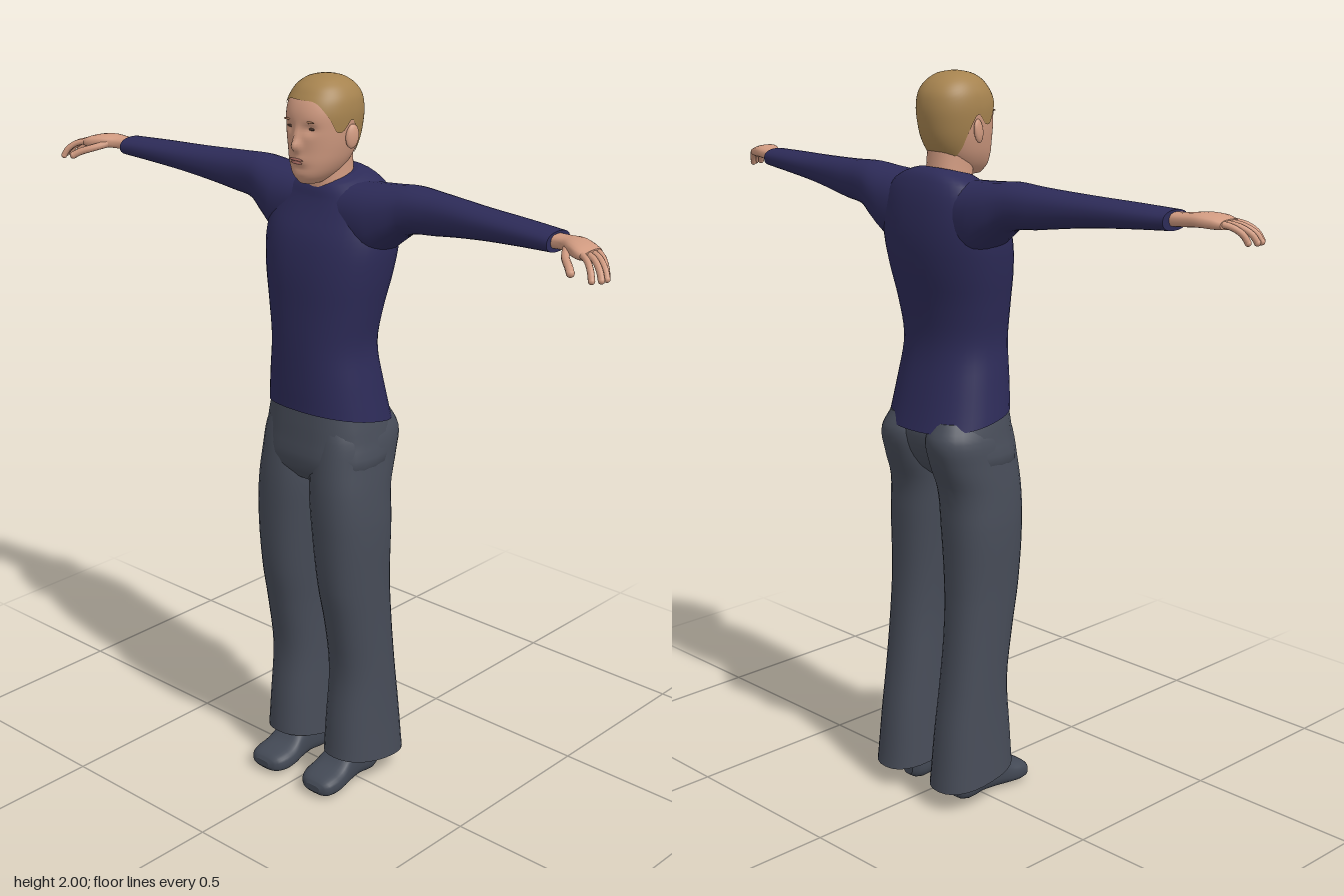
import * as THREE from 'three';

const paint = (name, color) => {
  const m = new THREE.MeshStandardMaterial({ color });
  m.name = name;
  return m;
};

// Closed-ring surface: fn(angle, v) gives a point; optional flat caps at both ends
function rings(nu, nv, fn, capStart = true, capEnd = true) {
  const pos = [], idx = [];
  const put = (p) => pos.push(p.x, p.y, p.z) / 3 - 1;
  const row = (v) => Array.from({ length: nu }, (_, i) => fn((i / nu) * Math.PI * 2, v));
  for (let j = 0; j <= nv; j++) row(j / nv).forEach(put);
  for (let j = 0; j < nv; j++) {
    for (let i = 0; i < nu; i++) {
      const k = (i + 1) % nu, a = j * nu + i, b = j * nu + k;
      idx.push(a, b, b + nu, a, b + nu, a + nu);
    }
  }
  for (const [use, v] of [[capStart, 0], [capEnd, 1]]) {
    if (!use) continue;
    const pts = row(v), mid = new THREE.Vector3();
    pts.forEach((p) => mid.addScaledVector(p, 1 / nu));
    const c = put(mid), ids = pts.map(put);
    ids.forEach((id, i) => {
      const next = ids[(i + 1) % nu];
      if (v) idx.push(c, id, next);
      else idx.push(c, next, id);
    });
  }
  const g = new THREE.BufferGeometry();
  g.setAttribute('position', new THREE.Float32BufferAttribute(pos, 3));
  g.setIndex(idx);
  g.computeVertexNormals();
  return g;
}

// Smooth interpolation of rows [t, ...values]
function curveOf(rows) {
  const c = new THREE.CubicInterpolant(
    rows.map((r) => r[0]), new Float32Array(rows.flatMap((r) => r.slice(1))), rows[0].length - 1);
  return (t) => Array.from(c.evaluate(t));
}

const bend = (s, n) => Math.sign(s) * Math.abs(s) ** (2 / n);

// Rounded loft along an axis; rows are [t, a0, a1, b0, b1], a and b being the next two axes
function loft(axis, rows, { n = 2.3, sides = 28, warp = (p) => p } = {}) {
  const at = curveOf(rows), next = { x: 'yz', y: 'zx', z: 'xy' }[axis], segs = rows.length - 1;
  return rings(sides, segs * 4, (angle, v) => {
    const i = Math.min(Math.floor(v * segs + 1e-6), segs - 1);
    const t = THREE.MathUtils.lerp(rows[i][0], rows[i + 1][0], v * segs - i);
    const [a0, a1, b0, b1] = at(t), p = new THREE.Vector3();
    p[axis] = t;
    p[next[0]] = (a0 + a1) / 2 + ((a1 - a0) / 2) * bend(Math.cos(angle), n);
    p[next[1]] = (b0 + b1) / 2 + ((b1 - b0) / 2) * bend(Math.sin(angle), n);
    return warp(p);
  });
}

function mirrored(geo) {
  const g = geo.clone().scale(-1, 1, 1), id = g.index.array;
  for (let i = 0; i < id.length; i += 3) [id[i], id[i + 1]] = [id[i + 1], id[i]];
  g.computeVertexNormals();
  return g;
}

// Head surface: rows are [y, back z, front z, half width]
const headAt = curveOf([
  [1.732, 0.02, 0.09, 0.025], [1.75, -0.02, 0.104, 0.045], [1.78, -0.055, 0.109, 0.064],
  [1.82, -0.08, 0.109, 0.077], [1.87, -0.093, 0.11, 0.085], [1.92, -0.095, 0.106, 0.087],
  [1.955, -0.084, 0.089, 0.078], [1.982, -0.056, 0.062, 0.055], [1.993, -0.03, 0.036, 0.032],
  [1.997, -0.004, 0.012, 0.008],
]);
const bump = (x, y, w, h) => Math.exp(-((x / w) ** 2) - (y / h) ** 2);

function headPoint(angle, y, grow = 1) {
  const [z0, z1, w] = headAt(y), mid = (z0 + z1) / 2;
  const x = w * grow * bend(Math.sin(angle), 2.2);
  let z = mid + ((z1 - z0) / 2) * grow * bend(Math.cos(angle), 2.2);
  if (z > mid) {
    z += 0.019 * bump(x, y - 1.831, 0.013, 0.015) + 0.009 * bump(x, y - 1.855, 0.009, 0.022);
    z -= 0.009 * bump(Math.abs(x) - 0.034, y - 1.875, 0.018, 0.013);
    z += 0.004 * bump(x, y - 1.796, 0.025, 0.012) - 0.004 * bump(x, y - 1.774, 0.025, 0.008);
  }
  return new THREE.Vector3(x, y, z);
}

// Point on the front of the face at a given x and y
function facePoint(x, y) {
  const s = Math.min(1, (x / headAt(y)[2]) ** 1.1);
  return headPoint(Math.asin(s), y);
}

export function createModel() {
  const shirt = paint('navy shirt', 0x2d2b58), trousers = paint('grey trousers', 0x474c58);
  const leather = paint('shoe grey', 0x434955), skin = paint('skin', 0xd09a80);
  const blond = paint('hair', 0xa6834f), dark = paint('eye brown', 0x4a352c);
  const brown = paint('brow', 0xa5765a), pink = paint('lips', 0xb5746a);

  const model = new THREE.Group();
  model.name = 'standingMan';
  const add = (name, geo, mat) => {
    const m = new THREE.Mesh(geo, mat);
    m.name = name;
    model.add(m);
  };
  const pair = (name, geo, mat) => {
    add('left' + name, geo, mat);
    add('right' + name, mirrored(geo), mat);
  };
  const ball = (p, sx, sy, sz) =>
    new THREE.SphereGeometry(1, 16, 12).scale(sx, sy, sz).translate(p.x, p.y, p.z);

  // Shirt body, with a sloping neckline and a hem that drops at the back
  add('shirtBody', loft('y', [
    [1.1, -0.156, 0.124, -0.172, 0.172], [1.2, -0.125, 0.126, -0.158, 0.158],
    [1.3, -0.11, 0.126, -0.147, 0.147], [1.4, -0.12, 0.123, -0.163, 0.163],
    [1.5, -0.14, 0.118, -0.184, 0.184], [1.58, -0.148, 0.103, -0.194, 0.194],
    [1.65, -0.143, 0.076, -0.185, 0.185], [1.7, -0.125, 0.056, -0.15, 0.15],
    [1.732, -0.1, 0.044, -0.09, 0.09], [1.74, -0.085, 0.035, -0.065, 0.065],
  ], {
    sides: 40,
    warp: (p) => {
      p.y += 0.2 * p.z * THREE.MathUtils.smoothstep(1.2 - p.y, 0, 0.1);
      p.y -= 0.25 * p.z * THREE.MathUtils.smoothstep(p.y, 1.6, 1.72);
      return p;
    },
  }), shirt);

  // Shoulders and sleeves
  pair('Sleeve', loft('x', [
    [0.06, 1.56, 1.73, -0.118, 0.055], [0.16, 1.55, 1.736, -0.125, 0.056],
    [0.21, 1.585, 1.74, -0.12, 0.045], [0.26, 1.62, 1.745, -0.108, 0.03],
    [0.35, 1.635, 1.741, -0.095, 0.022], [0.5, 1.657, 1.735, -0.072, 0.033],
    [0.62, 1.669, 1.732, -0.058, 0.044], [0.74, 1.678, 1.728, -0.04, 0.053],
  ]), shirt);

  // Trousers: hips and flared legs
  add('trouserHips', loft('y', [
    [0.92, -0.06, 0.09, -0.1, 0.1], [0.96, -0.105, 0.12, -0.17, 0.17],
    [1.05, -0.142, 0.121, -0.172, 0.172], [1.13, -0.12, 0.114, -0.155, 0.155],
  ], { n: 2.6 }), trousers);
  pair('TrouserLeg', loft('y', [
    [0.08, -0.165, 0.09, 0.02, 0.197], [0.2, -0.15, 0.082, 0.025, 0.191],
    [0.35, -0.128, 0.07, 0.03, 0.187], [0.5, -0.112, 0.09, 0.03, 0.187],
    [0.62, -0.105, 0.112, 0.022, 0.189], [0.8, -0.108, 0.125, 0.006, 0.194],
    [0.9, -0.113, 0.126, -0.002, 0.188], [0.98, -0.142, 0.12, -0.004, 0.18],
    [1.05, -0.158, 0.11, 0, 0.172], [1.1, -0.135, 0.1, 0.01, 0.15],
  ], {
    warp: (p) => {
      p.y += 0.16 * p.z * THREE.MathUtils.smoothstep(0.25 - p.y, 0, 0.17);
      return p;
    },
  }), trousers);

  // Shoes
  pair('Shoe', loft('z', [
    [-0.09, 0.075, 0.115, 0.01, 0.07], [-0.075, 0.058, 0.132, 0, 0.09],
    [0, 0.052, 0.138, 0, 0.115], [0.05, 0.042, 0.147, 0, 0.1],
    [0.09, 0.034, 0.154, 0, 0.07], [0.135, 0.038, 0.154, 0, 0.057],
    [0.158, 0.055, 0.142, 0.006, 0.046], [0.166, 0.075, 0.125, 0.015, 0.035],
  ], { n: 2.8 }), leather);

  // Hands: palm, four drooping fingers and a thumb
  pair('Palm', loft('x', [
    [0.72, 1.686, 1.722, -0.018, 0.035], [0.77, 1.69, 1.724, -0.014, 0.042],
    [0.81, 1.692, 1.728, -0.01, 0.07], [0.845, 1.69, 1.724, 0.002, 0.087],
    [0.868, 1.692, 1.716, 0.012, 0.084],
  ], { n: 2.6, sides: 18 }), skin);
  const finger = (name, pts, r) => {
    const path = new THREE.CatmullRomCurve3(pts.map((p) => new THREE.Vector3(...p)));
    pair(name, new THREE.TubeGeometry(path, 10, r, 10), skin);
    pair(name + 'Tip', ball(pts[pts.length - 1] && path.getPoint(1), r * 1.02, r * 1.02, r * 1.02), skin);
  };
  [0.915, 0.928, 0.926, 0.912].forEach((tip, i) => {
    const z = 0.02 + i * 0.0185, len = tip - 0.855;
    finger('Finger' + (i + 1), [
      [0.855, 1.708, z], [0.855 + len * 0.5, 1.7, z + 0.016],
      [0.855 + len * 0.85, 1.683, z + 0.031], [tip, 1.665, z + 0.038],
    ], 0.0082);
  });
  finger('Thumb', [[0.795, 1.705, 0.05], [0.82, 1.695, 0.088], [0.845, 1.685, 0.11], [0.86, 1.675, 0.123]], 0.01);

  // Neck and head
  add('neck', loft('y', [
    [1.66, -0.085, 0.045, -0.062, 0.062], [1.72, -0.08, 0.047, -0.057, 0.057],
    [1.76, -0.075, 0.048, -0.055, 0.055], [1.83, -0.07, 0.05, -0.055, 0.055],
  ]), skin);
  add('head', rings(96, 56, (a, v) => headPoint(a, 1.732 + 0.265 * Math.sin((v * Math.PI) / 2))), skin);

  // Short hair: cap whose lower edge follows the hairline from forehead to nape
  const hairline = curveOf([
    [0, 1.946], [0.55, 1.94], [0.95, 1.905], [1.2, 1.868], [1.42, 1.87],
    [1.6, 1.895], [1.8, 1.865], [2.1, 1.81], [2.5, 1.782], [Math.PI, 1.775],
  ]);
  add('hair', rings(80, 24, (a, v) => {
    const [low] = hairline(Math.min(a, Math.PI * 2 - a));
    const p = headPoint(a, low + (1.997 - low) * Math.sin((v * Math.PI) / 2), 1.035);
    p.y += 0.003 * v;
    return p;
  }, false, true), blond);

  // Ears, eyes, brows and mouth
  pair('Ear', ball(new THREE.Vector3(0, 0, 0), 0.009, 0.031, 0.019)
    .rotateY(-0.3).rotateX(-0.15).translate(0.09, 1.852, 0.002), skin);
  pair('Eye', ball(facePoint(0.034, 1.876), 0.013, 0.0035, 0.003), dark);
  pair('Brow', ball(facePoint(0.035, 1.894), 0.017, 0.003, 0.003).rotateZ(0), brown);
  add('upperLip', ball(facePoint(0, 1.797), 0.024, 0.0035, 0.003), pink);
  add('lowerLip', ball(facePoint(0, 1.789), 0.019, 0.004, 0.003), pink);

  return model;
}
